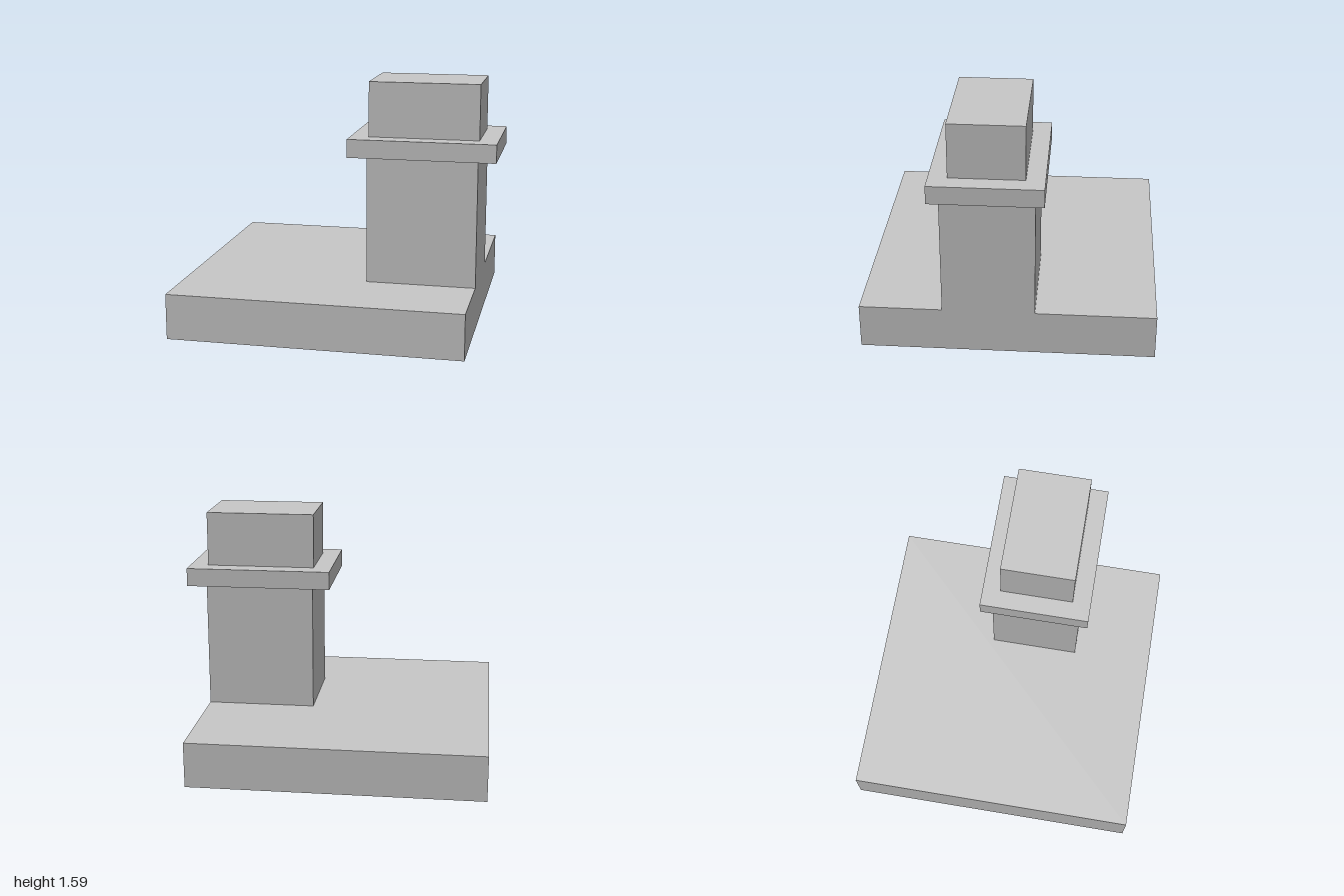
import * as THREE from 'three';

// The whole width is 17 modules
const UNIT = 2 / 17;

// Box given by its limits on each axis, in modules
function block(name, [x0, x1], [y0, y1], [z0, z1], material) {
  const size = [x1 - x0, y1 - y0, z1 - z0].map((s) => s * UNIT);
  const mesh = new THREE.Mesh(new THREE.BoxGeometry(...size), material);
  mesh.position.set(x0 + x1, y0 + y1, z0 + z1).multiplyScalar(UNIT / 2);
  mesh.name = name;
  return mesh;
}

export function createModel() {
  const grey = new THREE.MeshStandardMaterial({ color: 0xc8c8c8 });
  grey.name = 'light grey';

  const model = new THREE.Group();
  model.name = 'pillarOnSlab';
  model.add(
    // Wide slab, with the pillar flush against its left edge
    block('baseSlab', [-8.5, 7.5], [0, 2.5], [-8, 8], grey),
    block('pillar', [1.5, 7.5], [2.5, 9.5], [-1.5, 3.5], grey),
    // Overhanging collar and the narrower block above it
    block('collar', [0.5, 8.5], [9.5, 10.5], [-2, 4], grey),
    block('topBlock', [1.5, 7.5], [10.5, 13.5], [-1, 3], grey),
  );
  return model;
}
